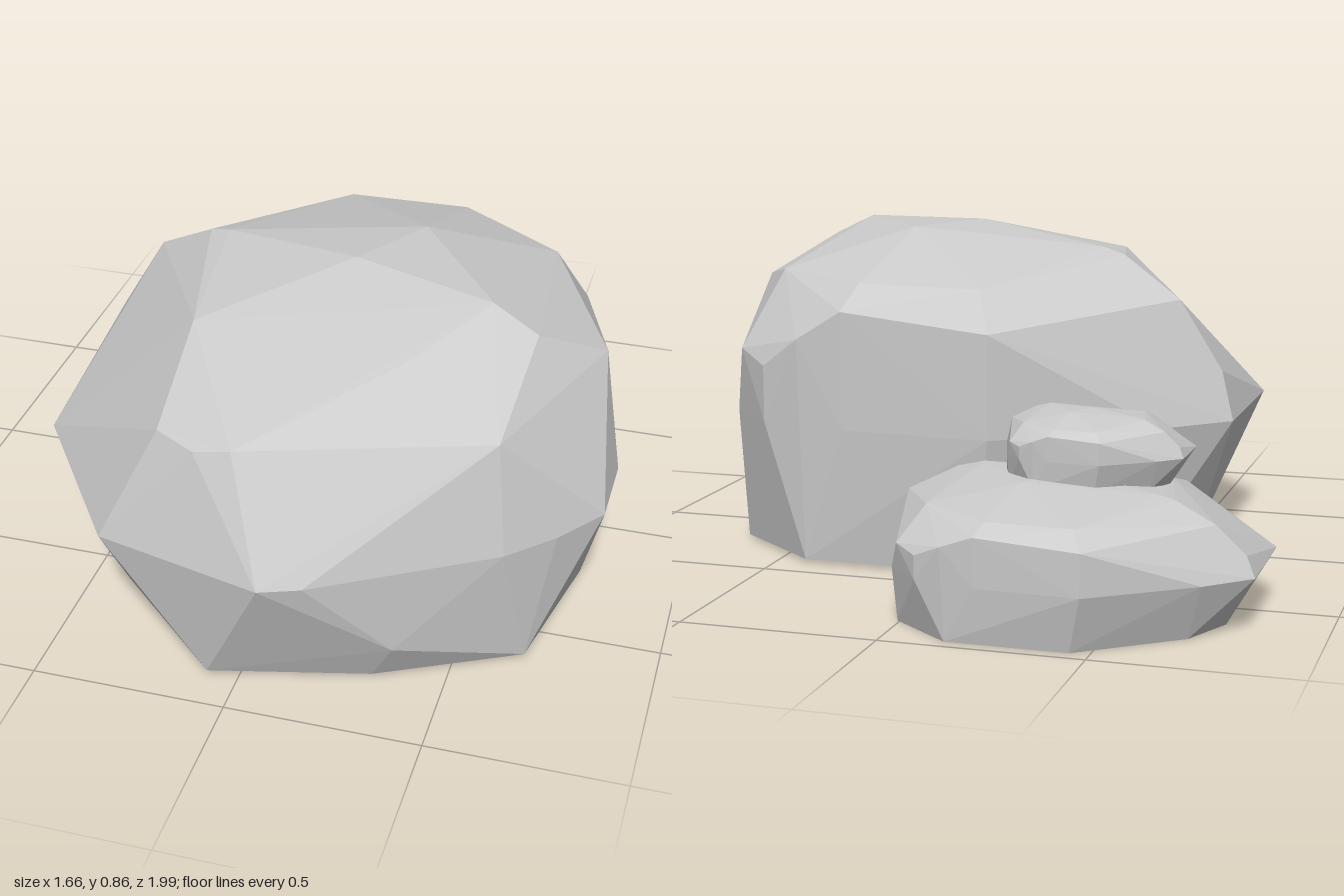
import * as THREE from 'three';
import { ConvexGeometry } from 'three/addons/geometries/ConvexGeometry.js';

// Facet corners of one boulder, ring by ring from the ground up
const base = [
  [-0.08, 0.89], [0.32, 0.79], [0.67, 0.61], [0.745, 0.23], [0.67, -0.21],
  [0.42, -0.41], [-0.05, -0.41], [-0.42, -0.12], [-0.52, 0.1], [-0.4, 0.59],
].map(([x, z]) => [x, 0.01, z]);

const skirt = [
  [-0.37, 0.33, 0.84], [0.38, 0.13, 0.83], [0.63, 0.13, 0.65],
  [0.775, 0.16, 0.13], [0.715, 0.16, -0.12],
];

const waist = [
  [0.09, 0.998], [0.19, 0.96], [0.62, 0.7], [0.73, 0.59], [0.825, 0.46], [0.825, 0.25],
  [0.68, -0.24], [0.54, -0.39], [0.3, -0.44], [-0.1, -0.46], [-0.48, -0.18],
  [-0.645, -0.02], [-0.645, 0.46],
].map(([x, z]) => [x, 0.37, z]);

const shoulder = [
  [-0.22, 0.64, 0.79], [-0.11, 0.635, 0.85], [-0.01, 0.66, 0.86], [0.59, 0.66, 0.66],
  [0.77, 0.69, 0.21], [0.64, 0.55, -0.3], [0.54, 0.52, -0.39], [0.43, 0.6, -0.43],
  [0.3, 0.68, -0.445], [-0.1, 0.64, -0.46], [-0.5, 0.69, -0.03], [-0.61, 0.5, 0.0],
];

const crown = [
  [-0.23, 0.77, 0.48], [0.34, 0.78, 0.54], [0.62, 0.8, 0.37], [0.5, 0.855, 0.34],
  [0.12, 0.865, 0.22], [0.25, 0.86, 0.0], [0.57, 0.75, -0.16], [0.28, 0.745, -0.36],
  [-0.05, 0.74, -0.36], [-0.27, 0.812, 0.07], [-0.33, 0.795, 0.05],
];

// Faceted hull with its underside left open
function boulderGeometry() {
  const points = [...base, ...skirt, ...waist, ...shoulder, ...crown]
    .map((p) => new THREE.Vector3(...p));
  const p = new ConvexGeometry(points).getAttribute('position');
  const kept = [];
  for (let i = 0; i < p.count; i += 3) {
    if (Math.max(p.getY(i), p.getY(i + 1), p.getY(i + 2)) < 0.02) continue;
    for (let j = i; j < i + 3; j++) kept.push(p.getX(j), p.getY(j), p.getZ(j));
  }
  const geometry = new THREE.BufferGeometry();
  geometry.setAttribute('position', new THREE.Float32BufferAttribute(kept, 3));
  geometry.computeVertexNormals();
  return geometry;
}

export function createModel() {
  const group = new THREE.Group();
  group.name = 'rockCluster';
  const geometry = boulderGeometry();
  const material = new THREE.MeshStandardMaterial({
    color: 0xcccccc, flatShading: true, side: THREE.DoubleSide,
  });

  // The same boulder at three sizes; the smaller two are flatter
  const rocks = [
    ['largeBoulder', [1, 1, 1], [0, 0, 0]],
    ['mediumRock', [0.637, 0.385, 0.637], [-0.42, -0.0035, -0.703]],
    ['smallRock', [0.32, 0.2, 0.32], [-0.415, 0.3, -0.533]],
  ];
  for (const [name, scale, position] of rocks) {
    const rock = new THREE.Mesh(geometry, material);
    rock.name = name;
    rock.scale.set(...scale);
    rock.position.set(...position);
    group.add(rock);
  }
  return group;
}
